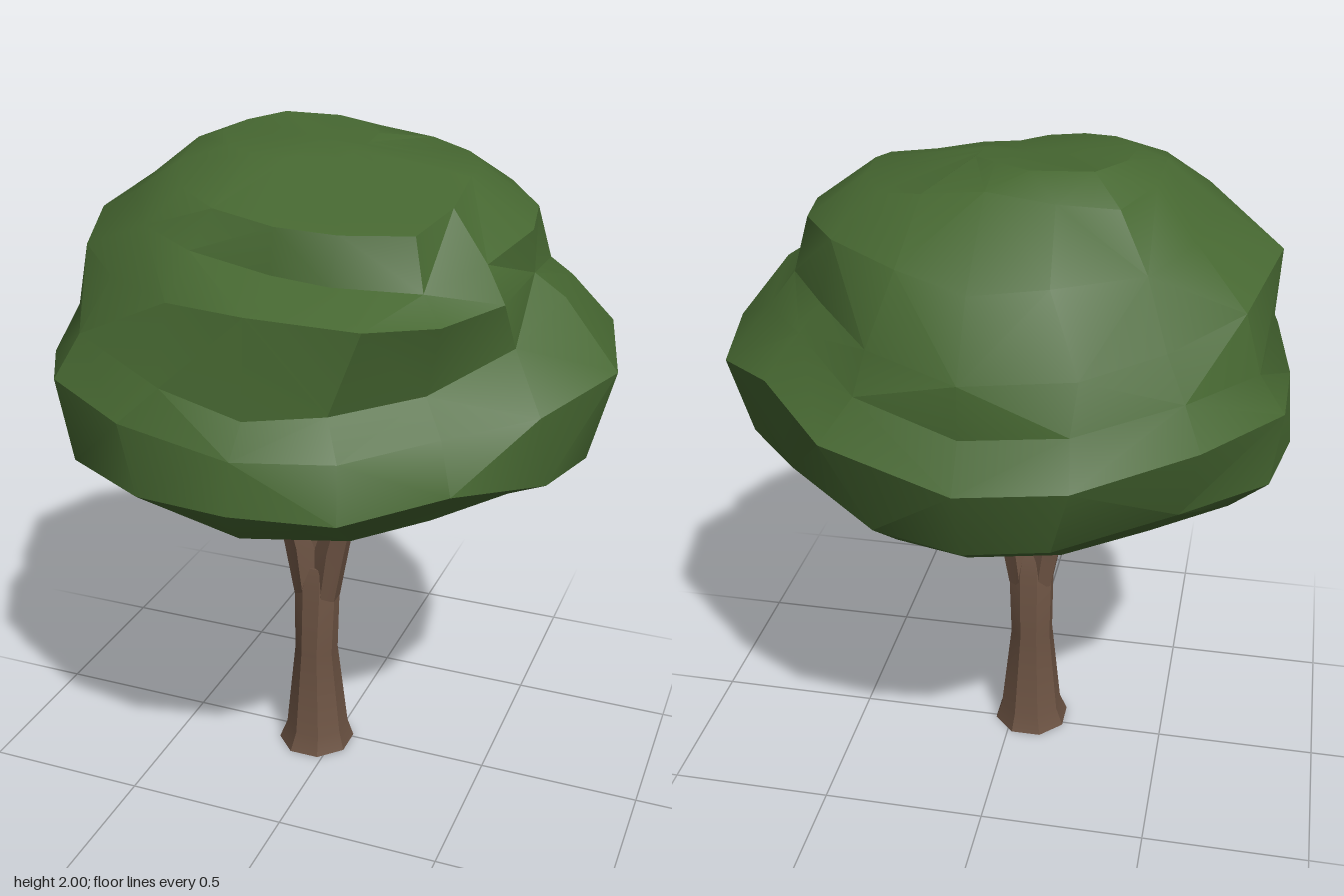
import * as THREE from 'three';
import { toCreasedNormals } from 'three/addons/utils/BufferGeometryUtils.js';

// Skin a stack of equal-length closed rings, listed from bottom to top.
function loft(rings, crease) {
  const pos = [];
  const tri = (...pts) => {
    const area = new THREE.Triangle(...pts).getArea();
    if (area > 1e-7) pts.forEach((p) => pos.push(p.x, p.y, p.z));
  };
  for (let i = 0; i < rings.length - 1; i++) {
    const n = rings[i].length;
    for (let j = 0; j < n; j++) {
      const k = (j + 1) % n;
      const a = rings[i][j], b = rings[i][k], c = rings[i + 1][k], d = rings[i + 1][j];
      // alternate the diagonals for irregular facets
      if ((i + (j >> 1)) % 2) { tri(b, a, d); tri(b, d, c); }
      else { tri(a, d, c); tri(a, c, b); }
    }
  }
  const g = new THREE.BufferGeometry();
  g.setAttribute('position', new THREE.Float32BufferAttribute(pos, 3));
  return toCreasedNormals(g, crease);
}

// Sections are [x, y, z, radiusX, radiusZ]; both ends are capped.
function limb(sections, sides) {
  const ring = ([x, y, z, rx, rz]) => Array.from({ length: sides }, (_, j) => {
    const a = ((j + 0.5) / sides) * Math.PI * 2;
    return new THREE.Vector3(x + rx * Math.cos(a), y, z + rz * Math.sin(a));
  });
  const cap = ([x, y, z]) => ring([x, y, z, 0, 0]);
  return loft([cap(sections[0]), ...sections.map(ring), cap(sections.at(-1))], 0.5);
}

// Crown profiles [radius, height] from the lower rim up, every 45 degrees from +x towards +z.
const profiles = [
  [[0.58, 1.05], [0.76, 1.14], [0.83, 1.41], [0.67, 1.61], [0.58, 1.67], [0.57, 1.79], [0.39, 1.92], [0.05, 1.975]], // left
  [[0.62, 1.09], [0.72, 1.20], [0.66, 1.34], [0.57, 1.43], [0.64, 1.64], [0.54, 1.70], [0.49, 1.84], [0.08, 1.96]], // front left
  [[0.72, 1.09], [0.80, 1.19], [0.77, 1.33], [0.69, 1.41], [0.66, 1.68], [0.49, 1.74], [0.46, 1.86], [0.10, 1.96]], // front
  [[0.70, 1.08], [0.81, 1.16], [0.85, 1.41], [0.77, 1.53], [0.67, 1.68], [0.57, 1.81], [0.46, 1.90], [0.25, 1.97]], // front right
  [[0.73, 1.06], [0.83, 1.14], [0.81, 1.36], [0.75, 1.50], [0.76, 1.73], [0.58, 1.85], [0.43, 1.965], [0.35, 1.99]], // right
  [[0.66, 1.07], [0.78, 1.18], [0.85, 1.39], [0.78, 1.50], [0.70, 1.61], [0.61, 1.79], [0.49, 1.93], [0.38, 2.00]], // back right
  [[0.63, 1.03], [0.70, 1.08], [0.80, 1.31], [0.72, 1.43], [0.72, 1.58], [0.60, 1.77], [0.36, 1.96], [0.22, 1.995]], // back
  [[0.60, 1.06], [0.73, 1.19], [0.79, 1.47], [0.68, 1.58], [0.61, 1.65], [0.57, 1.82], [0.42, 1.92], [0.10, 1.975]], // back left
];
// Greatest radius of the crown halfway between the profiles.
const between = [0.76, 0.79, 0.80, 0.83, 0.86, 0.84, 0.81, 0.83];

function crownGeometry() {
  let seed = 7;
  const jitter = (s) => {
    seed = (seed * 16807) % 2147483647;
    return (seed / 2147483647 - 0.5) * 2 * s;
  };
  const rings = profiles[0].map(() => []);
  const point = (r, y, a) => new THREE.Vector3(r * Math.cos(a), y, r * Math.sin(a));
  profiles.forEach((p, j) => {
    const q = profiles[(j + 1) % 8];
    const mid = p.map(([r, y], i) => [(r + q[i][0]) / 2, (y + q[i][1]) / 2]);
    const stretch = between[j] - Math.max(...mid.map((m) => m[0]));
    rings.forEach((ring, i) => {
      ring.push(point(...p[i], (j * Math.PI) / 4));
      const a = ((j + 0.5 + jitter(0.1)) * Math.PI) / 4;
      const widen = i < 5 ? stretch : 0; // only the lower crown follows the outline
      ring.push(point(mid[i][0] + widen, mid[i][1] + (i < 6 ? jitter(0.015) : 0), a));
    });
  });
  // shallow hollow underneath
  const hollow = rings[0].map((v) => new THREE.Vector3(v.x * 0.5, 1.18, v.z * 0.5));
  const fill = (x, y, z) => rings[0].map(() => new THREE.Vector3(x, y, z));
  return loft([fill(0, 1.25, 0), hollow, ...rings, fill(-0.06, 1.98, -0.05)], 0.5);
}

export function createModel() {
  const leaf = new THREE.MeshStandardMaterial({ color: 0x466731 });
  leaf.name = 'leaf green';
  const bark = new THREE.MeshStandardMaterial({ color: 0x6b5242 });
  bark.name = 'bark brown';

  const tree = new THREE.Group();
  tree.name = 'tree';
  const add = (name, geometry, material) => {
    const mesh = new THREE.Mesh(geometry, material);
    mesh.name = name;
    tree.add(mesh);
  };

  // trunk with flared foot
  add('trunk', limb([
    [-0.062, 0, 0.035, 0.122, 0.125],
    [-0.06, 0.06, 0.033, 0.1, 0.1],
    [-0.06, 0.35, 0.037, 0.068, 0.072],
    [-0.058, 0.58, 0.032, 0.074, 0.058],
    [-0.057, 0.65, 0.034, 0.055, 0.038],
  ], 8), bark);

  // forked branches reaching into the crown
  add('rightBranch', limb([
    [-0.085, 0.54, 0.032, 0.045, 0.053],
    [-0.107, 0.72, 0.034, 0.058, 0.05],
    [-0.2, 1.06, 0.037, 0.036, 0.04],
    [-0.26, 1.21, 0.04, 0.026, 0.026],
  ], 6), bark);
  add('leftBranch', limb([
    [-0.03, 0.54, 0.032, 0.045, 0.053],
    [-0.006, 0.72, 0.034, 0.056, 0.05],
    [0.08, 1.06, 0.037, 0.035, 0.04],
    [0.155, 1.27, 0.035, 0.024, 0.024],
  ], 6), bark);

  add('crown', crownGeometry(), leaf);
  return tree;
}
